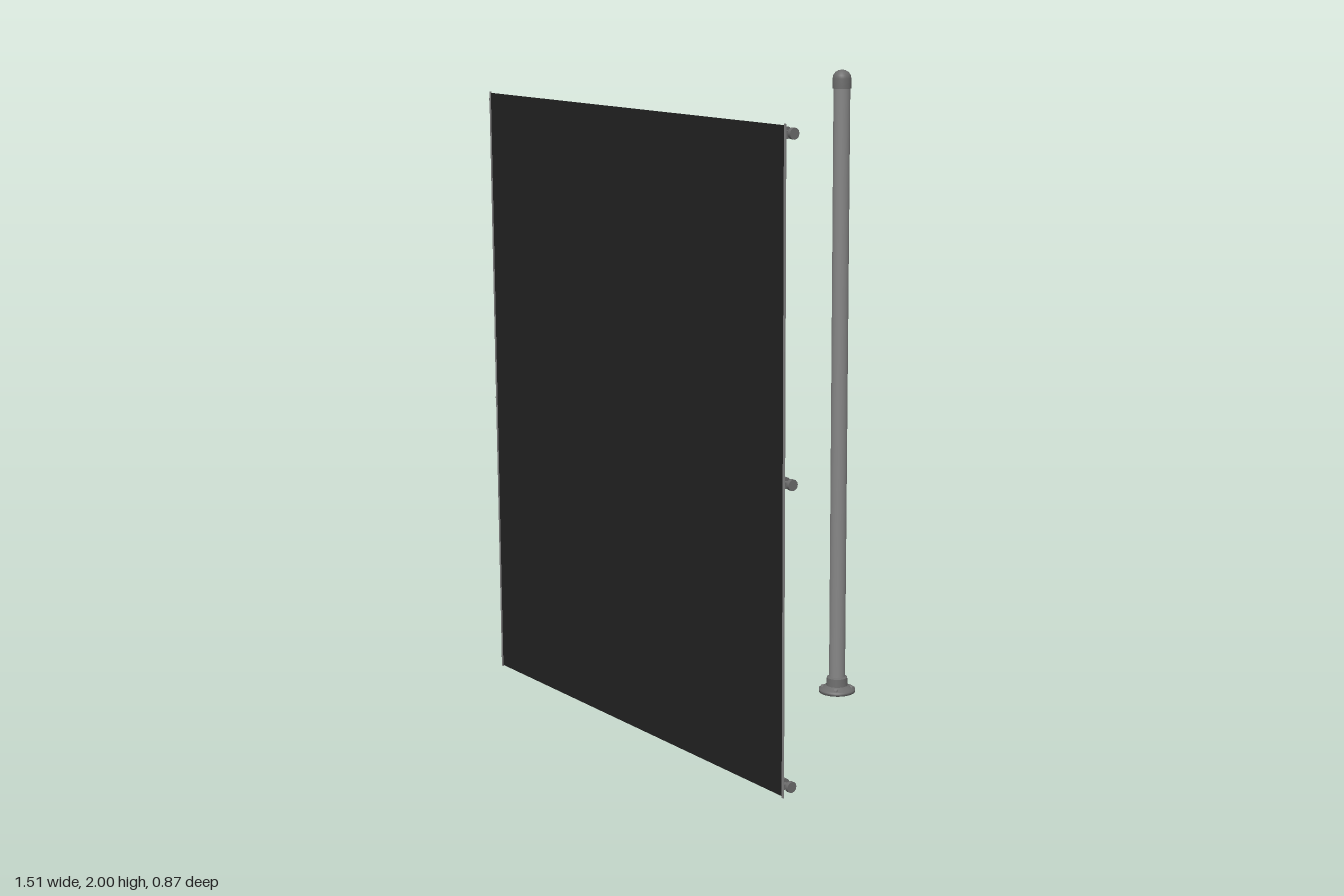
import * as THREE from 'three';

const mat = (name, color, side = THREE.FrontSide) => {
  const m = new THREE.MeshStandardMaterial({ color, side });
  m.name = name;
  return m;
};

export function createModel() {
  const root = new THREE.Group();
  root.name = 'bannerAndPost';
  const steel = mat('steel grey', 0x868686);
  const fitting = mat('dark fitting grey', 0x6c6c6c);
  const cloth = mat('black cloth', 0x222222, THREE.DoubleSide);
  const trim = mat('edge trim grey', 0x808080, THREE.DoubleSide);

  const add = (parent, name, geo, material, x = 0, y = 0, z = 0) => {
    const mesh = new THREE.Mesh(geo, material);
    mesh.name = name;
    mesh.position.set(x, y, z);
    parent.add(mesh);
    return mesh;
  };
  const rod = (r, length, sides = 24) => new THREE.CylinderGeometry(r, r, length, sides).rotateZ(Math.PI / 2);

  // Hanging sheet with side trims and two seams on the back
  const screen = new THREE.Group();
  screen.name = 'screen';
  screen.position.x = -0.003;
  root.add(screen);
  const top = 1.922, bottom = 0.058, zSheet = 0.434;
  const midY = (top + bottom) / 2, height = top - bottom;
  add(screen, 'sheet', new THREE.PlaneGeometry(1.476, height), cloth, 0, midY, zSheet);
  for (const s of [-1, 1]) {
    add(screen, 'sideTrim', new THREE.BoxGeometry(0.007, height + 0.008, 0.003), trim, s * 0.741, midY, zSheet);
  }
  for (const y of [0.56, 1.43]) {
    add(screen, 'seam', new THREE.BoxGeometry(1.476, 0.003, 0.001), trim, 0, y, zSheet - 0.001);
  }

  // Three cross bars with collars, end pins and knobs
  for (const y of [0.085, 0.95, 1.9]) {
    const bar = new THREE.Group();
    bar.name = 'crossBar';
    bar.position.set(0, y, 0.414);
    screen.add(bar);
    add(bar, 'tube', rod(0.015, 1.42), steel);
    for (const s of [-1, 1]) {
      add(bar, 'collar', rod(0.0165, 0.026), fitting, s * 0.712);
      add(bar, 'pin', rod(0.007, 0.03, 12), fitting, s * 0.735);
      add(bar, 'knob', rod(0.016, 0.011, 12), fitting, s * 0.751);
      add(bar, 'bracket', new THREE.BoxGeometry(0.006, 0.014, 0.018), fitting, s * 0.738, 0, 0.01);
    }
  }

  // Round post
  const post = new THREE.Group();
  post.name = 'post';
  post.position.set(-0.005, 0, -0.376);
  root.add(post);
  add(post, 'shaft', new THREE.CylinderGeometry(0.026, 0.026, 1.93, 32), steel, 0, 0.985, 0);

  // Flared foot with socket
  const foot = [[0, 0], [0.059, 0], [0.059, 0.009], [0.05, 0.012], [0.035, 0.022], [0.035, 0.022],
    [0.033, 0.048], [0.033, 0.048], [0.026, 0.052]].map(p => new THREE.Vector2(...p));
  add(post, 'foot', new THREE.LatheGeometry(foot, 32), fitting);
  for (let i = 0; i < 4; i++) {
    const a = Math.PI / 4 + i * Math.PI / 2;
    add(post, 'footBolt', new THREE.CylinderGeometry(0.006, 0.006, 0.008, 6), steel,
      Math.cos(a) * 0.047, 0.015, Math.sin(a) * 0.047);
  }

  // Domed cap on the post
  const cap = [[0.026, 1.942], [0.029, 1.942], [0.029, 1.942], [0.029, 1.973], [0.027, 1.983],
    [0.021, 1.992], [0.011, 1.998], [0, 2]].map(p => new THREE.Vector2(...p));
  add(post, 'cap', new THREE.LatheGeometry(cap, 32), fitting);
  return root;
}
